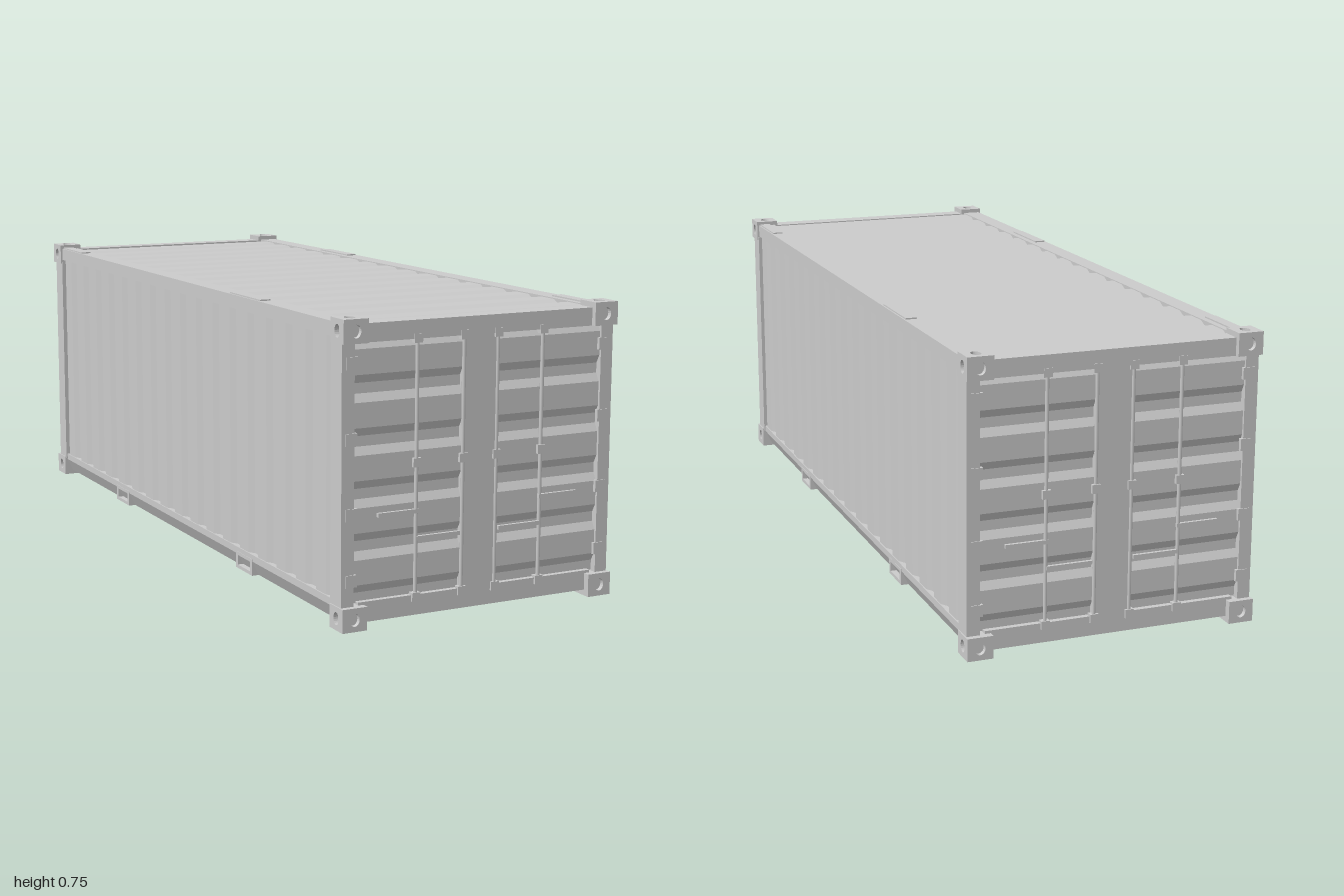
import * as THREE from 'three';

const material = new THREE.MeshStandardMaterial({ color: 0xcccccc });

function add(parent, name, geometry, x = 0, y = 0, z = 0) {
  const mesh = new THREE.Mesh(geometry, material);
  mesh.name = name;
  mesh.position.set(x, y, z);
  parent.add(mesh);
  return mesh;
}

function box(parent, name, w, h, d, x, y, z) {
  return add(parent, name, new THREE.BoxGeometry(w, h, d), x, y, z);
}

function extrude(shape, depth) {
  const g = new THREE.ExtrudeGeometry(shape, { depth, bevelEnabled: false, curveSegments: 10 });
  return g.translate(0, 0, -depth / 2);
}

// Trapezoid-ribbed sheet: ribs repeat along u, stand out along d, run along l
function ribbedSheet(span, length, ribs, depth, u, d, l) {
  const shape = new THREE.Shape();
  const pitch = span / ribs;
  shape.moveTo(-span / 2, -0.02);
  for (let i = 0; i < ribs; i++) {
    const s = -span / 2 + i * pitch;
    [[0, -depth], [0.2, -depth], [0.36, 0], [0.84, 0], [1, -depth]]
      .forEach(([t, h]) => shape.lineTo(s + t * pitch, h));
  }
  shape.lineTo(span / 2, -0.02);
  const basis = new THREE.Matrix4().makeBasis(u, d, l);
  return extrude(shape, length).applyMatrix4(basis);
}

// Rectangular plate with an elliptical or rectangular opening
function openPlate(w, h, depth, holeW, holeH, round) {
  const rect = (p, a, b) => p.moveTo(-a, -b).lineTo(a, -b).lineTo(a, b).lineTo(-a, b).closePath();
  const shape = rect(new THREE.Shape(), w / 2, h / 2);
  const hole = new THREE.Path();
  if (round) hole.absellipse(0, 0, holeW / 2, holeH / 2, 0, Math.PI * 2, true);
  else rect(hole, holeW / 2, holeH / 2);
  shape.holes.push(hole);
  return extrude(shape, depth);
}

// Corner casting: a core with a pierced plate on each outer face
function cornerCasting(sx, sy, sz) {
  const g = new THREE.Group();
  g.name = 'cornerCasting';
  const W = 0.066, H = 0.058, D = 0.066, t = 0.012;
  box(g, 'castingCore', W - t, H - t, D - t, -sx * t / 2, -sy * t / 2, -sz * t / 2);
  add(g, 'castingEndFace', openPlate(W, H, t, 0.026, 0.032, true), 0, 0, sz * (D - t) / 2);
  add(g, 'castingSideFace', openPlate(D, H, t, 0.026, 0.032, true), sx * (W - t) / 2)
    .rotation.y = sx * Math.PI / 2;
  add(g, 'castingCapFace', openPlate(W, D, t, 0.024, 0.036, true), 0, sy * (H - t) / 2)
    .rotation.x = -sy * Math.PI / 2;
  g.position.set(sx * (0.381 - W / 2), sy > 0 ? 0.745 - H / 2 : H / 2, sz * (1 - D / 2));
  return g;
}

// One end with a pair of doors, facing +z
function doorEnd(X, Y, Z) {
  const g = new THREE.Group();
  g.name = 'doorEnd';
  box(g, 'header', 0.66, 0.045, 0.05, 0, 0.709, 0.961);
  box(g, 'sill', 0.66, 0.05, 0.05, 0, 0.04, 0.957);
  box(g, 'centreStrip', 0.1, 0.63, 0.03, 0, 0.376, 0.967);
  for (const s of [-1, 1]) {
    box(g, 'cornerPost', 0.034, 0.645, 0.055, s * 0.361, 0.374, 0.958);
    add(g, 'doorLeaf', ribbedSheet(0.63, 0.31, 5, 0.011, Y, Z, X), s * 0.2, 0.376, 0.979);
    // Locking rods with their brackets and handles
    for (const x of [0.047, 0.175]) {
      add(g, 'lockingRod', new THREE.CylinderGeometry(0.005, 0.005, 0.64, 8), s * x, 0.376, 0.981);
      for (const y of [0.06, 0.39, 0.688])
        box(g, 'rodBracket', 0.022, 0.022, 0.016, s * x, y, 0.98);
    }
    box(g, 'doorHandle', 0.11, 0.01, 0.008, s * 0.225, 0.272, 0.983);
    box(g, 'doorHandle', 0.12, 0.01, 0.008, s * 0.115, 0.205, 0.983);
    for (const y of [0.12, 0.28, 0.46, 0.64])
      box(g, 'hinge', 0.03, 0.03, 0.01, s * 0.352, y, 0.983);
  }
  return g;
}

// One long side, facing +x
function longSide(X, Y, Z) {
  const g = new THREE.Group();
  g.name = 'longSide';
  add(g, 'sideWall', ribbedSheet(1.87, 0.65, 17, 0.011, Z, X, Y), 0.371, 0.385, 0);
  box(g, 'topRail', 0.05, 0.035, 1.9, 0.35, 0.716, 0);
  // Bottom rail with its lower edge tucked inward
  const rail = new THREE.Shape();
  rail.moveTo(0.32, 0.012).lineTo(0.355, 0.012).lineTo(0.374, 0.05)
    .lineTo(0.374, 0.068).lineTo(0.32, 0.068).closePath();
  add(g, 'bottomRail', extrude(rail, 1.9));
  for (const z of [-0.435, 0.435])
    add(g, 'forkPocket', openPlate(0.1, 0.044, 0.022, 0.076, 0.026, false), 0.364, 0.034, z)
      .rotation.y = Math.PI / 2;
  // Small raised strips along the roof edge
  for (const z of [-0.44, 0.86])
    box(g, 'roofEdgeStrip', 0.03, 0.006, 0.18, 0.356, 0.734, z);
  return g;
}

export function createModel() {
  const model = new THREE.Group();
  model.name = 'shippingContainer';
  const X = new THREE.Vector3(1, 0, 0), Y = new THREE.Vector3(0, 1, 0), Z = new THREE.Vector3(0, 0, 1);

  box(model, 'floor', 0.68, 0.03, 1.92, 0, 0.028, 0);
  add(model, 'roof', ribbedSheet(1.88, 0.655, 16, 0.009, Z, Y, X.clone().negate()), 0, 0.731, 0);

  for (const turn of [0, Math.PI]) {
    const end = doorEnd(X, Y, Z);
    const side = longSide(X, Y, Z);
    end.rotation.y = side.rotation.y = turn;
    model.add(end, side);
  }

  for (const sx of [-1, 1])
    for (const sy of [-1, 1])
      for (const sz of [-1, 1]) model.add(cornerCasting(sx, sy, sz));

  return model;
}
